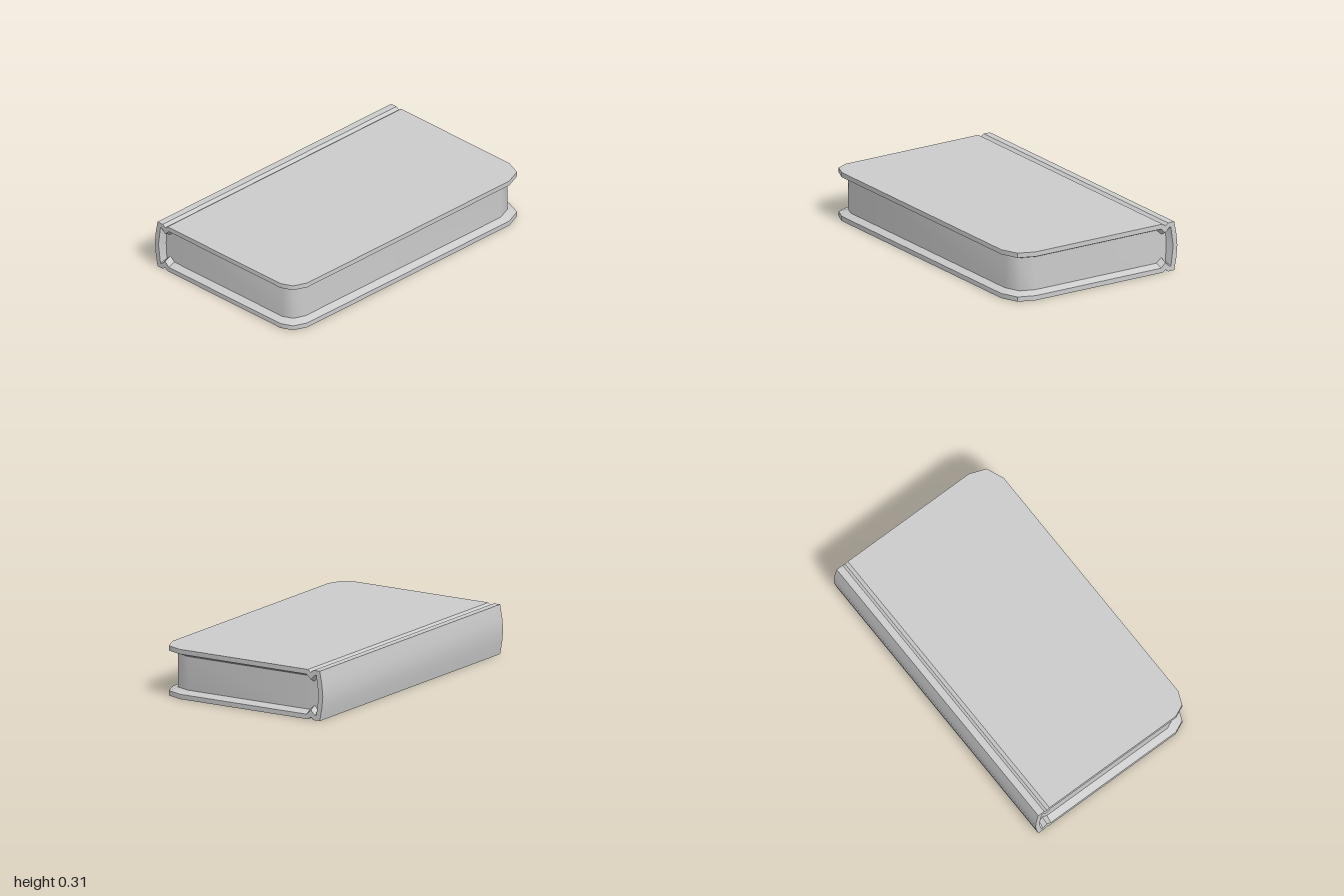
import * as THREE from 'three';
import { toCreasedNormals } from 'three/addons/utils/BufferGeometryUtils.js';

const H = 0.31;
const flipY = ([x, y]) => [x, H - y];
// Completes a half profile (ending on the mid height) with its mirrored upper half
const mirrored = (half) => [...half, ...half.slice(0, -1).reverse().map(flipY)];

// Board edge and page edge as (x, z), from the hinge round the two fore corners
const boardEdge = [[-0.475, 1], [0.48, 1], [0.555, 0.965], [0.59, 0.88],
  [0.59, -0.85], [0.545, -0.96], [0.44, -1], [-0.475, -1]];
const pageEdge = [[-0.47, 0.955], [0.45, 0.955], [0.515, 0.925], [0.545, 0.85],
  [0.545, -0.82], [0.505, -0.92], [0.41, -0.955], [-0.47, -0.955]];

// Spine cross-section as (x, y): outside, inside at the rim, inside at the pages
const spineOuter = mirrored([[-0.475, 0], [-0.485, 0], [-0.505, 0.015], [-0.525, 0],
  [-0.57, 0], [-0.585, 0.08], [-0.592, 0.155]]);
const spineInner = mirrored([[-0.475, 0.03], [-0.505, 0.06], [-0.535, 0.03],
  [-0.545, 0.03], [-0.562, 0.155]]);
const spineInset = mirrored([[-0.47, 0.05], [-0.505, 0.08], [-0.53, 0.05],
  [-0.535, 0.05], [-0.541, 0.155]]);

const shapeOf = (pts) => new THREE.Shape(pts.map(([x, y]) => new THREE.Vector2(x, y)));

// Horizontal slab from an (x, z) outline
function slab(pts, y, height) {
  const g = new THREE.ExtrudeGeometry(shapeOf(pts.map(([x, z]) => [x, -z])),
    { depth: height, bevelEnabled: false });
  return g.rotateX(-Math.PI / 2).translate(0, y, 0);
}

// Strip of quads between two paths of equal length
function ribbon(a, b) {
  const pos = [];
  for (let i = 0; i < a.length - 1; i++) {
    pos.push(...a[i], ...a[i + 1], ...b[i + 1], ...a[i], ...b[i + 1], ...b[i]);
  }
  const g = new THREE.BufferGeometry();
  g.setAttribute('position', new THREE.Float32BufferAttribute(pos, 3));
  g.computeVertexNormals();
  return g;
}

export function createModel() {
  const group = new THREE.Group();
  group.name = 'book';
  const solid = new THREE.MeshStandardMaterial({ color: 0xcccccc });
  const thin = new THREE.MeshStandardMaterial({ color: 0xcccccc, side: THREE.DoubleSide });
  const add = (name, geometry, crease, material = solid) => {
    const mesh = new THREE.Mesh(toCreasedNormals(geometry, crease), material);
    mesh.name = name;
    group.add(mesh);
  };

  // Cover boards with a sloping inner rim that runs in to the pages
  for (const top of [false, true]) {
    const side = top ? 'top' : 'bottom';
    const level = (pts, y) => pts.map(([x, z]) => [x, top ? H - y : y, z]);
    add(side + 'Cover', slab(boardEdge, top ? H - 0.03 : 0, 0.03), 0.8);
    const outer = level(boardEdge, 0.03), inner = level(pageEdge, 0.05);
    add(side + 'CoverRim', top ? ribbon(inner, outer) : ribbon(outer, inner), 0.5, thin);
  }

  // Curved spine with a hinge groove on both faces
  const spine = new THREE.ExtrudeGeometry(shapeOf([...spineOuter, ...[...spineInner].reverse()]),
    { depth: 2, bevelEnabled: false });
  add('spine', spine.translate(0, 0, -1), 0.3);

  // Lip closing the spine in to the pages at each end
  for (const s of [1, -1]) {
    const at = (pts, z) => pts.map(([x, y]) => [x, y, s * z]);
    const outer = at(spineInner, 1), inner = at(spineInset, 0.955);
    add(s > 0 ? 'frontSpineLip' : 'backSpineLip',
      s > 0 ? ribbon(inner, outer) : ribbon(outer, inner), 0.3, thin);
  }

  // Page block
  const pages = [[-0.55, 0.955], ...pageEdge.slice(1, -1), [-0.55, -0.955]];
  add('pages', slab(pages, 0.04, H - 0.08), 0.85);

  return group;
}
